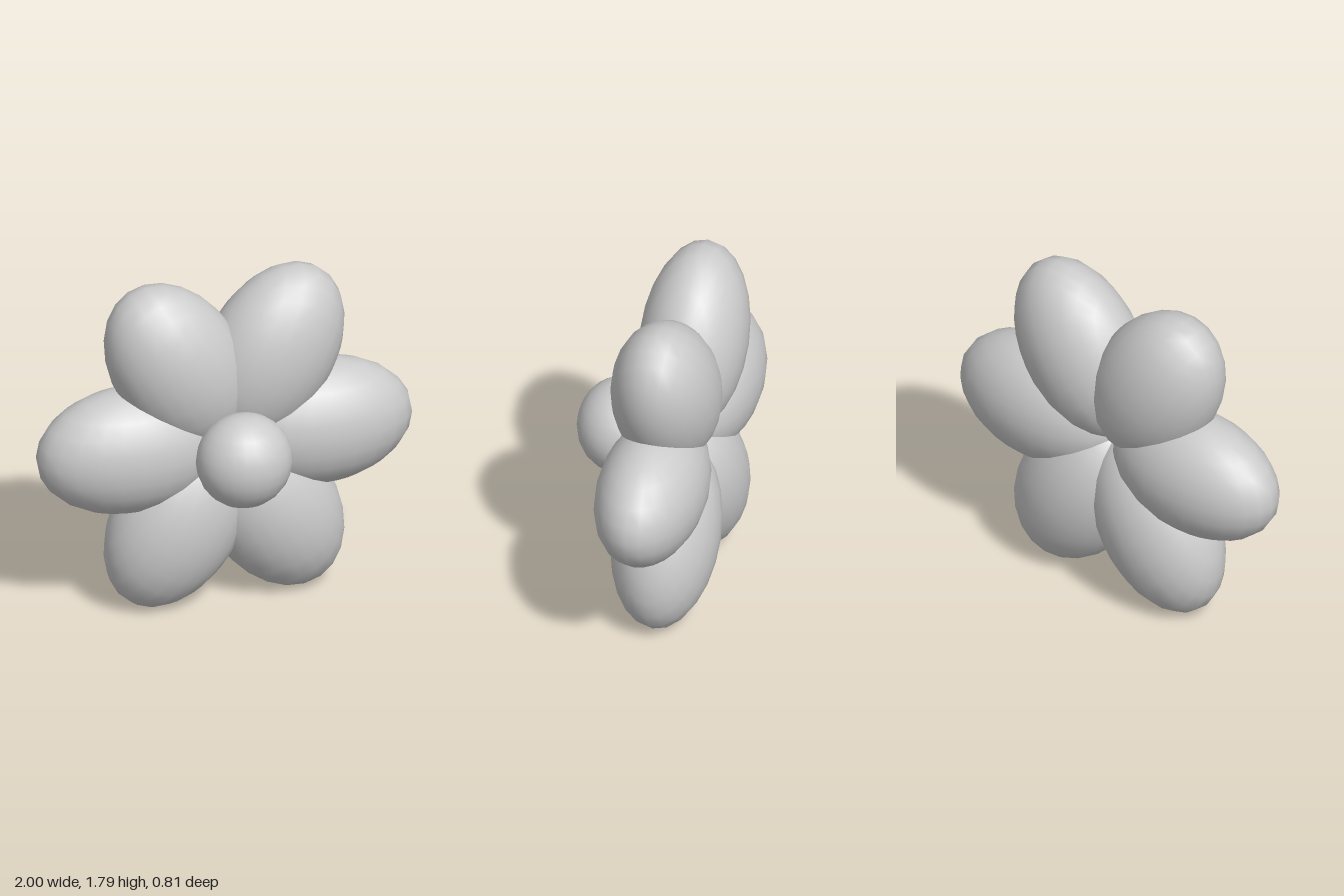
import * as THREE from 'three';

const CENTER_Y = 0.897;

export function createModel() {
  const flower = new THREE.Group();
  flower.name = 'flower';
  const material = new THREE.MeshStandardMaterial({ color: 0xcccccc });

  // Petal: a stretched ball whose inner end touches the flower's middle
  const petalGeometry = new THREE.SphereGeometry(1, 24, 12);
  petalGeometry.scale(0.5, 0.337, 0.274);
  petalGeometry.translate(0.5, 0, 0);

  // Ring of six petals
  const petals = new THREE.Group();
  petals.name = 'petals';
  petals.position.set(0, CENTER_Y, -0.131);
  for (let i = 0; i < 6; i++) {
    const petal = new THREE.Mesh(petalGeometry, material);
    petal.name = `petal${i + 1}`;
    petal.rotation.z = (i * Math.PI) / 3;
    petals.add(petal);
  }
  flower.add(petals);

  // Slightly flattened centre button on the front
  const centre = new THREE.Mesh(new THREE.SphereGeometry(1, 24, 12), material);
  centre.name = 'flowerCentre';
  centre.scale.set(0.248, 0.248, 0.226);
  centre.position.set(0, CENTER_Y, 0.179);
  flower.add(centre);

  return flower;
}
